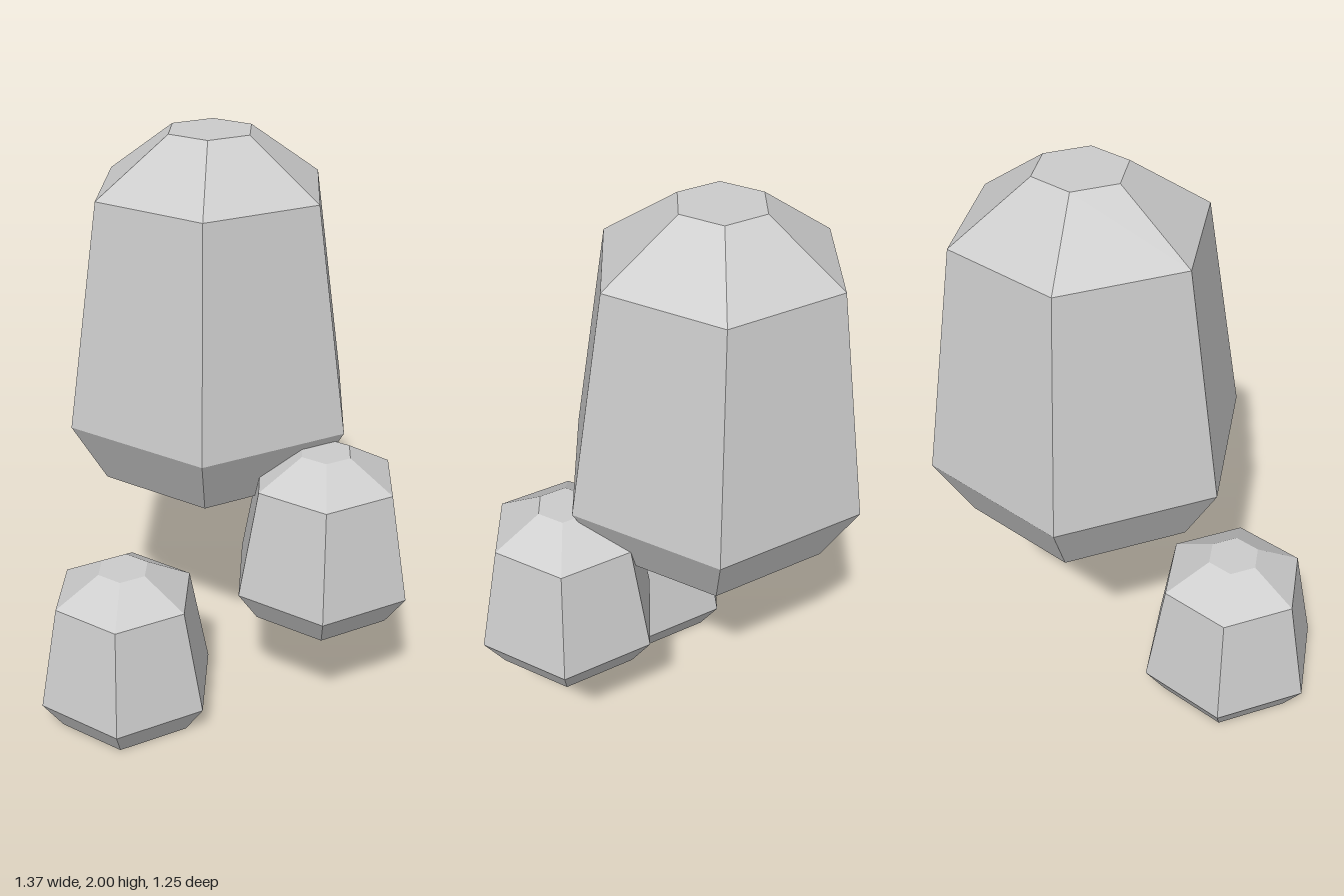
import * as THREE from 'three';

const SIDES = 6;

// Faceted six-sided pod: tapered shell plus a base with a small square socket
function makePod(name, profile, socket, material) {
  const pod = new THREE.Group();
  pod.name = name;

  // Shell with a closed flat top
  const points = profile.map(([r, y]) => new THREE.Vector2(r, y));
  points.push(new THREE.Vector2(0, profile[profile.length - 1][1]));
  const shell = new THREE.Mesh(
    new THREE.LatheGeometry(points, SIDES, Math.PI / 2), material);
  shell.name = 'shell';
  pod.add(shell);

  // Base with the square opening
  const [radius] = profile[0];
  const outline = new THREE.Shape();
  for (let i = 0; i < SIDES; i++) {
    const a = (i / SIDES) * Math.PI * 2;
    const x = radius * Math.cos(a), y = radius * Math.sin(a);
    if (i === 0) outline.moveTo(x, y);
    else outline.lineTo(x, y);
  }
  outline.closePath();
  const h = socket / 2;
  const hole = new THREE.Path();
  hole.moveTo(-h, -h);
  hole.lineTo(-h, h);
  hole.lineTo(h, h);
  hole.lineTo(h, -h);
  hole.closePath();
  outline.holes.push(hole);
  const base = new THREE.Mesh(
    new THREE.ShapeGeometry(outline).rotateX(Math.PI / 2), material);
  base.name = 'base';
  pod.add(base);
  return pod;
}

export function createModel() {
  const model = new THREE.Group();
  model.name = 'podCluster';

  const grey = new THREE.MeshStandardMaterial({
    color: 0xcccccc, flatShading: true, side: THREE.DoubleSide });
  grey.name = 'light grey';

  // Profiles are [radius, height] from the base up
  const large = [[0.41, 0], [0.532, 0.22], [0.41, 0.99], [0.15, 1.175]];
  const small = [[0.253, 0], [0.325, 0.11], [0.253, 0.49], [0.092, 0.585]];

  const pods = [
    ['largePod', large, 0.085, [-0.155, 0.825, -0.165]],
    ['leftSmallPod', small, 0.068, [0.36, 0.43, -0.072]],
    ['frontSmallPod', small, 0.068, [-0.19, 0, 0.34]],
  ];
  for (const [name, profile, socket, position] of pods) {
    const pod = makePod(name, profile, socket, grey);
    pod.position.set(...position);
    model.add(pod);
  }
  return model;
}
